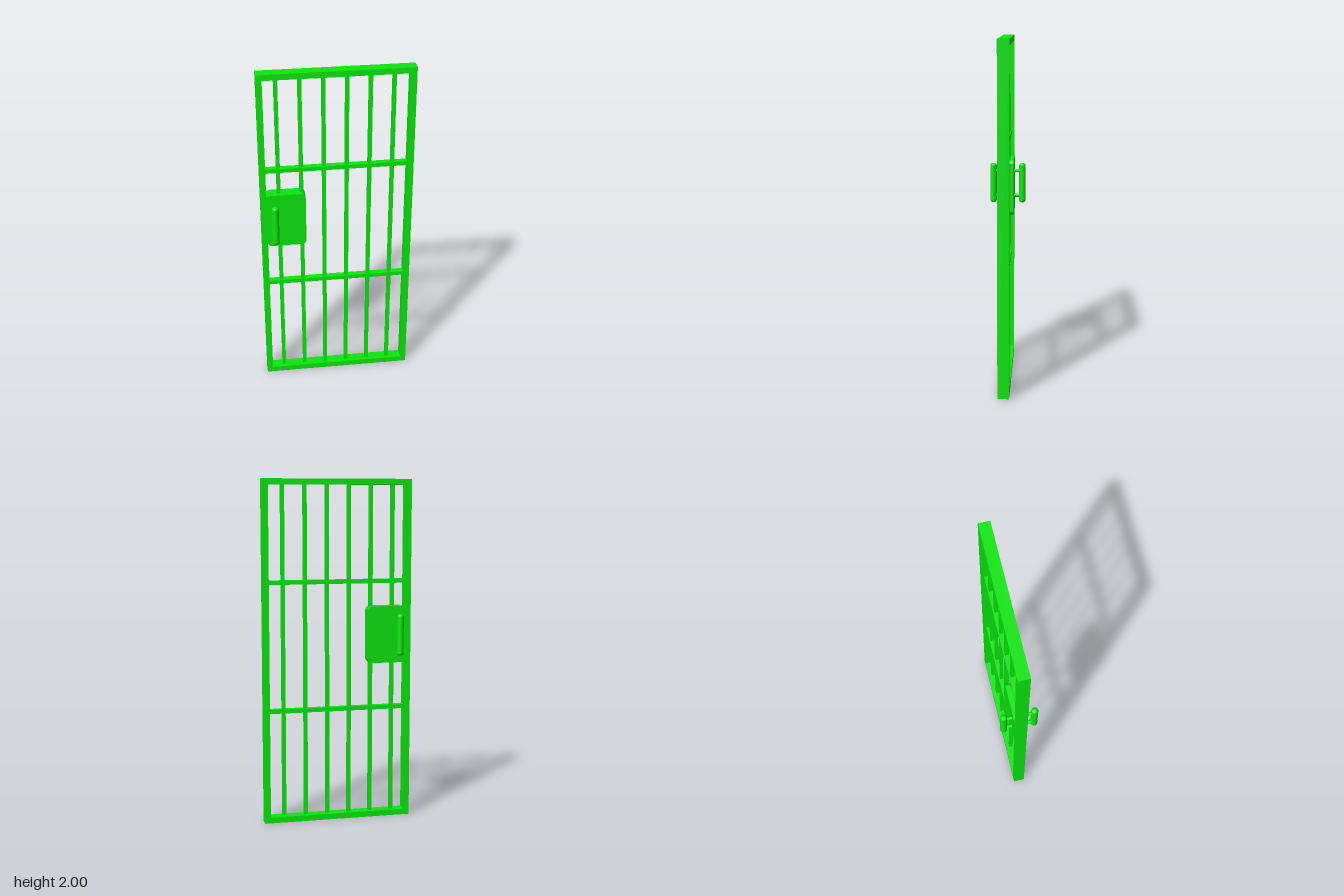
import * as THREE from 'three';

export function createModel() {
  const door = new THREE.Group();
  door.name = 'barredDoor';
  const green = new THREE.MeshStandardMaterial({ color: 0x0be60e });
  const Z = -0.005; // middle plane of the frame

  const add = (name, geometry, x, y, z, parent = door) => {
    const mesh = new THREE.Mesh(geometry, green);
    mesh.name = name;
    mesh.position.set(x, y, z);
    parent.add(mesh);
    return mesh;
  };

  // Outer frame: one rectangle with a rectangular opening
  const W = 0.438, H = 2, T = 0.034, D = 0.066;
  const outline = new THREE.Shape([[-W, 0], [W, 0], [W, H], [-W, H]].map(p => new THREE.Vector2(...p)));
  const w = W - T;
  outline.holes.push(new THREE.Path(
    [[-w, T], [-w, H - T], [w, H - T], [w, T]].map(p => new THREE.Vector2(...p))));
  add('frame', new THREE.ExtrudeGeometry(outline, { depth: D, bevelEnabled: false }), 0, 0, Z - D / 2);

  // Upright bars
  for (let i = 0; i < 6; i++) {
    add('uprightBar', new THREE.BoxGeometry(0.022, H - 2 * T, 0.022), -0.331 + i * 0.13, H / 2, Z);
  }

  // Cross bars
  for (const y of [0.663, 1.412]) {
    add('crossBar', new THREE.BoxGeometry(2 * w, 0.024, 0.036), 0, y, Z);
  }

  // Lock plate with rounded corners
  const a = 0.113, b = 0.167, r = 0.026;
  const plate = new THREE.Shape();
  plate.absarc(a - r, b - r, r, 0, Math.PI / 2);
  plate.absarc(-a + r, b - r, r, Math.PI / 2, Math.PI);
  plate.absarc(-a + r, -b + r, r, Math.PI, Math.PI * 1.5);
  plate.absarc(a - r, -b + r, r, Math.PI * 1.5, Math.PI * 2);
  const plateDepth = 0.074;
  add('lockPlate', new THREE.ExtrudeGeometry(plate, { depth: plateDepth, bevelEnabled: false, curveSegments: 8 }),
    -0.293, 1.099, Z - plateDepth / 2);

  // Pull handles, front and back: a round-ended grip on two posts
  const R = 0.02, half = 0.122, round = 0.015;
  const profile = [new THREE.Vector2(0, -half)];
  for (const end of [-1, 1]) {
    for (let i = 0; i <= 5; i++) {
      const t = (end < 0 ? i - 5 : i) / 5 * Math.PI / 2;
      profile.push(new THREE.Vector2(R - round + round * Math.cos(t), end * (half - round) + round * Math.sin(t)));
    }
  }
  profile.push(new THREE.Vector2(0, half));
  for (const side of [1, -1]) {
    const handle = new THREE.Group();
    handle.name = side > 0 ? 'frontHandle' : 'backHandle';
    handle.position.set(-0.36, 1.101, -0.001);
    door.add(handle);
    add('grip', new THREE.LatheGeometry(profile, 20), 0, 0, side * 0.089, handle);
    for (const y of [-0.078, 0.076]) {
      add('handlePost', new THREE.CylinderGeometry(0.0105, 0.0105, 0.07, 16), 0, y, side * 0.055, handle)
        .rotation.x = Math.PI / 2;
    }
  }
  return door;
}
